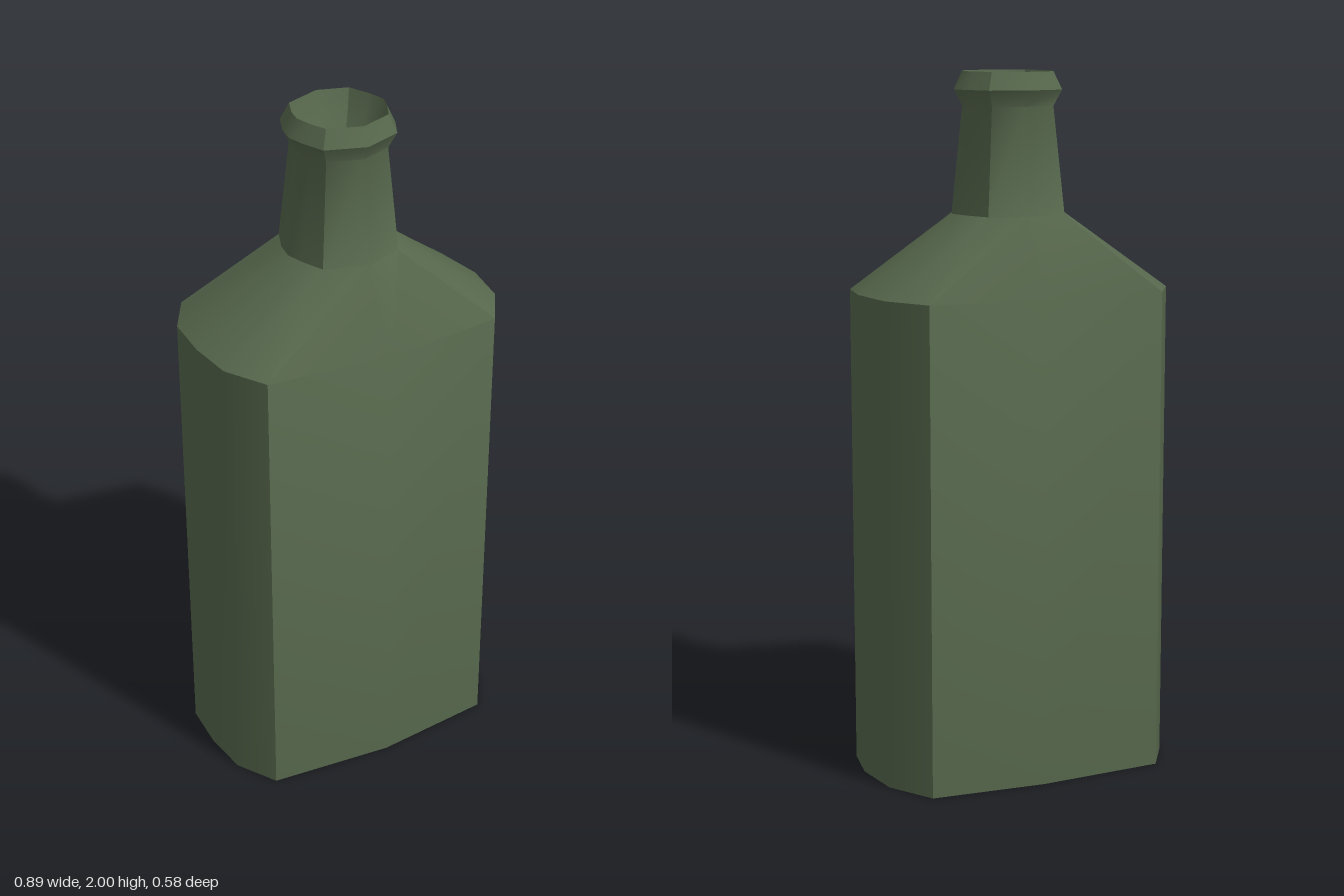
import * as THREE from 'three';
import { toCreasedNormals } from 'three/addons/utils/BufferGeometryUtils.js';

// Outlines [x, z], counter-clockwise seen from above, starting at the front centre
const BODY = [
  [0, 0.286], [0.35, 0.25], [0.425, 0.132], [0.443, 0], [0.418, -0.15], [0.333, -0.278],
  [0, -0.289], [-0.368, -0.255], [-0.436, -0.14], [-0.444, 0], [-0.43, 0.135], [-0.36, 0.253],
];
// Octagon-like neck outline, with an extra point on some sides to match the body
const NECK = [
  [0, 0.97], [0.71, 0.72], [0.9, 0.33], [1, 0.03], [0.88, -0.36], [0.66, -0.82],
  [0, -1.03], [-0.78, -0.75], [-0.95, -0.33], [-1, 0], [-0.9, 0.33], [-0.73, 0.72],
];

const ring = (outline, y, scale = 1) =>
  outline.map(([x, z]) => new THREE.Vector3(x * scale, y, z * scale));

// Skins a stack of rings; caps close the first ring downwards and the last upwards
function loft(rings, capStart, capEnd) {
  const pos = [];
  const tri = (...pts) => pts.forEach((p) => pos.push(p.x, p.y, p.z));
  const n = rings[0].length;
  const centre = (r) => new THREE.Vector3(0, r[0].y, 0);
  for (let i = 0; i < n; i++) {
    const j = (i + 1) % n;
    for (let k = 0; k + 1 < rings.length; k++) {
      const a = rings[k], b = rings[k + 1];
      tri(a[i], a[j], b[j]);
      tri(a[i], b[j], b[i]);
    }
    const first = rings[0], last = rings[rings.length - 1];
    if (capStart) tri(centre(first), first[j], first[i]);
    if (capEnd) tri(centre(last), last[i], last[j]);
  }
  const geo = new THREE.BufferGeometry();
  geo.setAttribute('position', new THREE.Float32BufferAttribute(pos, 3));
  return toCreasedNormals(geo, 0.7);
}

export function createModel() {
  const group = new THREE.Group();
  group.name = 'bottle';
  const glass = new THREE.MeshStandardMaterial({ color: 0x56674c });
  const add = (name, geo) => {
    const mesh = new THREE.Mesh(geo, glass);
    mesh.name = name;
    group.add(mesh);
  };

  // Straight body, sloped shoulders, tapering neck and flared collar
  add('bottleShell', loft([
    ring(BODY, 0),
    ring(BODY, 1.39),
    ring(NECK, 1.605, 0.162),
    ring(NECK, 1.905, 0.13),
    ring(NECK, 1.95, 0.154),
    ring(NECK, 2, 0.13),
  ], true, false));

  // Hollow inside the mouth
  add('mouthHollow', loft([
    ring(NECK, 2, 0.13),
    ring(NECK, 1.95, 0.115),
    ring(NECK, 1.9, 0.09),
  ], false, true));

  return group;
}
